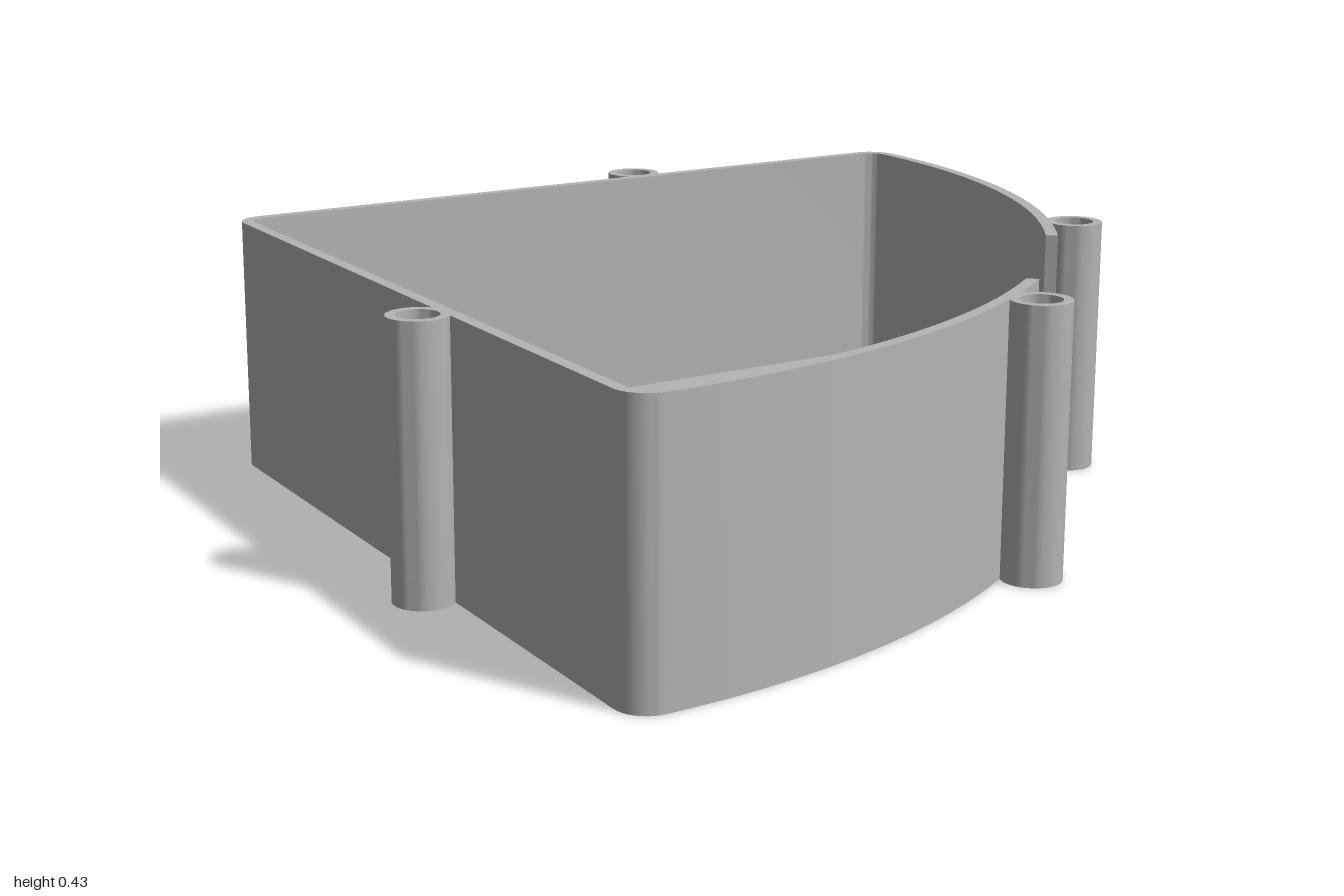
import * as THREE from 'three';
import { toCreasedNormals } from 'three/addons/utils/BufferGeometryUtils.js';

const H = 0.434, WALL = 0.02, FLOOR = 0.025;
const ROUND = 0.05;                              // corner rounding in plan
const CORNER = { x: 0.225, z: 0.95 }, APEX_X = -0.675;
const ARC_X = -0.727;                            // centre of the large curved side
const ARC_R = Math.hypot(CORNER.x - ARC_X, CORNER.z) + ROUND;
const NOTCH = { half: 0.18, bottom: 0.1, r: 0.14 };

// Plan outline as stations: outer point, inner point and wall height
function outline() {
  const stations = [];
  const arc = (cx, cz, r, from, to, n) => {
    for (let i = 0; i <= n; i++) {
      const a = from + (to - from) * i / n, c = Math.cos(a), s = Math.sin(a);
      stations.push({
        o: [cx + r * c, cz + r * s],
        i: [cx + (r - WALL) * c, cz + (r - WALL) * s], top: H,
      });
    }
  };
  const cut = (z, top) => {
    const x = r => ARC_X + Math.sqrt(r * r - z * z);
    stations.push({ o: [x(ARC_R), z], i: [x(ARC_R - WALL), z], top });
  };
  const A = Math.atan2(CORNER.z, CORNER.x - ARC_X);
  const B = Math.atan2(CORNER.x - APEX_X, -CORNER.z);
  const N = Math.asin((NOTCH.half + 0.01) / ARC_R);

  arc(ARC_X, 0, ARC_R, -A, -N, 24);
  // U-shaped notch in the middle of the curved side
  cut(-NOTCH.half, H);
  const flat = NOTCH.half - NOTCH.r, steps = 12;
  for (const side of [-1, 1]) {
    for (let k = 0; k <= steps; k++) {
      const t = (side < 0 ? steps - k : k) / steps * Math.PI / 2;
      cut(side * (flat + NOTCH.r * Math.sin(t)), NOTCH.bottom + NOTCH.r * (1 - Math.cos(t)));
    }
  }
  cut(NOTCH.half, H);
  arc(ARC_X, 0, ARC_R, N, A, 24);
  arc(CORNER.x, CORNER.z, ROUND, A, B, 10);
  arc(APEX_X, 0, ROUND, B, 2 * Math.PI - B, 10);
  arc(CORNER.x, -CORNER.z, ROUND, -B, -A, 10);
  return stations;
}

// Closed wall swept from four-cornered cross-sections
function wallGeometry(stations) {
  const pos = [];
  const tri = (a, b, c) => {
    const area = new THREE.Triangle(a, b, c).getArea();
    if (area > 1e-8) for (const p of [a, b, c]) pos.push(p.x, p.y, p.z);
  };
  const sections = stations.map(({ o, i, top }) => [
    new THREE.Vector3(o[0], 0, o[1]), new THREE.Vector3(o[0], top, o[1]),
    new THREE.Vector3(i[0], top, i[1]), new THREE.Vector3(i[0], 0, i[1]),
  ]);
  sections.forEach((s, n) => {
    const next = sections[(n + 1) % sections.length];
    for (let k = 0; k < 4; k++) {
      const m = (k + 1) % 4;
      tri(s[k], s[m], next[m]);
      tri(s[k], next[m], next[k]);
    }
  });
  const g = new THREE.BufferGeometry();
  g.setAttribute('position', new THREE.Float32BufferAttribute(pos, 3));
  return toCreasedNormals(g, 0.5);
}

// Floor plate filling the inside of the wall
function floorGeometry(stations) {
  const pts = [];
  for (const { i } of stations) {
    const p = new THREE.Vector2(i[0], i[1]);
    if (!pts.length || (p.distanceTo(pts[pts.length - 1]) > 1e-5 && p.distanceTo(pts[0]) > 1e-5)) pts.push(p);
  }
  const g = new THREE.ExtrudeGeometry(new THREE.Shape(pts), { depth: FLOOR, bevelEnabled: false });
  return g.rotateX(Math.PI / 2).translate(0, FLOOR, 0);
}

// Round post with a blind hole in its top
function postGeometry() {
  const R = 0.048, hole = 0.033, holeBottom = 0.1;
  const profile = [[0, 0], [R, 0], [R, H], [hole, H], [hole, holeBottom], [0, holeBottom]]
    .map(([x, y]) => new THREE.Vector2(x, y));
  return toCreasedNormals(new THREE.LatheGeometry(profile, 32), 0.5);
}

export function createModel() {
  const model = new THREE.Group();
  model.name = 'sectorTray';
  const grey = new THREE.MeshStandardMaterial({ color: 0xb4b4b4 });
  grey.name = 'grey';
  const add = (name, geometry) => {
    const mesh = new THREE.Mesh(geometry, grey);
    mesh.name = name;
    model.add(mesh);
    return mesh;
  };

  const stations = outline();
  add('wall', wallGeometry(stations));
  add('floor', floorGeometry(stations));

  // Two posts on the straight sides, two on the curved side
  const post = postGeometry();
  for (const side of [-1, 1]) {
    const end = side < 0 ? 'Back' : 'Front';
    add('sidePost' + end, post).position.set(-0.19, 0, side * 0.638);
    add('curvePost' + end, post).position.set(0.672, 0, side * 0.323);
  }
  return model;
}
